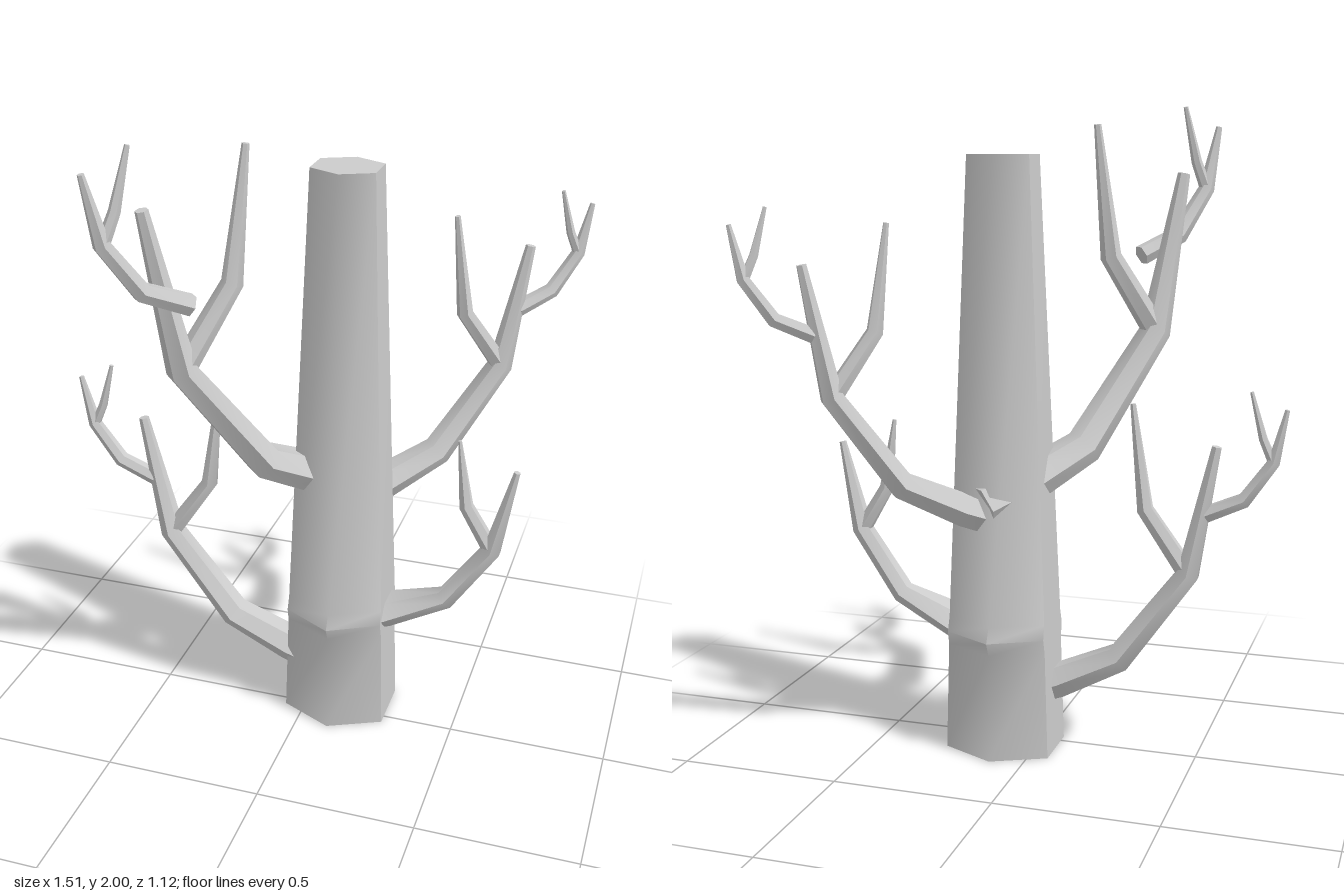
import * as THREE from 'three';
import { toCreasedNormals } from 'three/addons/utils/BufferGeometryUtils.js';

const material = new THREE.MeshStandardMaterial({ color: 0xcccccc });
const V = (x, y, z) => new THREE.Vector3(x, y, z);

// Closed skin over a stack of rings with equal point counts, capped at both ends
function loft(name, rings, crease) {
  const n = rings[0].length, pos = [], index = [];
  rings.forEach(r => r.forEach(p => pos.push(p.x, p.y, p.z)));
  for (let i = 0; i < rings.length - 1; i++) {
    for (let j = 0; j < n; j++) {
      const a = i * n + j, b = i * n + (j + 1) % n;
      index.push(a, b, b + n, a, b + n, a + n);
    }
  }
  const last = (rings.length - 1) * n;
  for (let j = 1; j < n - 1; j++) {
    index.push(0, j + 1, j, last, last + j, last + j + 1);
  }
  const geo = new THREE.BufferGeometry();
  geo.setAttribute('position', new THREE.Float32BufferAttribute(pos, 3));
  geo.setIndex(index);
  const mesh = new THREE.Mesh(toCreasedNormals(geo, crease), material);
  mesh.name = name;
  return mesh;
}

// Hexagonal limb along points [distance, height, radius, sideRadius?] lying in
// the upright plane through origin that runs in the horizontal direction u
function limb(name, points, origin, u, scale = 1) {
  const side = V(0, 1, 0).cross(u).normalize();
  const centres = points.map(([d, y]) =>
    origin.clone().addScaledVector(u, d * scale).add(V(0, y * scale, 0)));
  const step = i => centres[i + 1].clone().sub(centres[i]).normalize();
  const rings = points.map(([, , r, w = r], i) => {
    const t = V(0, 0, 0);
    if (i > 0) t.add(step(i - 1));
    if (i < points.length - 1) t.add(step(i));
    const normal = t.normalize().clone().cross(side);
    return Array.from({ length: 6 }, (_, k) => {
      const a = k * Math.PI / 3;
      return centres[i].clone()
        .addScaledVector(side, Math.cos(a) * w * scale)
        .addScaledVector(normal, Math.sin(a) * r * scale);
    });
  });
  return loft(name, rings, 0.75);
}

// Limb profiles measured from the fork of the branch
const MAIN = [[-0.5, -0.41, 0.058, 0.066], [-0.4, -0.375, 0.056, 0.064],
  [-0.21, -0.285, 0.047, 0.056], [0, 0, 0.038, 0.045], [0.08, 0.4, 0.016]];
const INNER_TWIG = [[0, 0, 0.032], [-0.135, 0.195, 0.027], [-0.176, 0.52, 0.009]];
const OUTER_TWIG = [[0.05, 0.19, 0.027], [0.165, 0.24, 0.025],
  [0.25, 0.36, 0.021], [0.286, 0.52, 0.008]];
const TWIG_TIP = [[0.25, 0.355, 0.016], [0.217, 0.43, 0.014], [0.18, 0.57, 0.006]];

function branch(name, fork, u, scale, twigShift = V(0, 0, 0)) {
  const group = new THREE.Group();
  group.name = name;
  u.normalize();
  const outer = fork.clone().add(twigShift);
  group.add(
    limb('mainLimb', MAIN, fork, u, scale),
    limb('innerTwig', INNER_TWIG, fork, u, scale),
    limb('outerTwig', OUTER_TWIG, outer, u, scale),
    limb('outerTwigFork', TWIG_TIP, outer, u, scale));
  return group;
}

export function createModel() {
  const tree = new THREE.Group();
  tree.name = 'bareTree';

  // Tapered six-sided trunk with a slight swelling: [y, half x, half z, half side face]
  const rings = [[0, 0.167, 0.168, 0.09], [0.34, 0.157, 0.163, 0.088],
    [0.385, 0.156, 0.183, 0.1], [0.43, 0.155, 0.16, 0.086], [1.85, 0.098, 0.098, 0.052]]
    .map(([y, x, z, s]) => [[0, z], [x, s], [x, -s], [0, -z], [-x, -s], [-x, s]]
      .map(([px, pz]) => V(0.105 + px, y, -0.058 + pz)));
  tree.add(loft('trunk', rings, 1.04));

  // Three large branches
  tree.add(
    branch('rightBranch', V(-0.465, 0.59, 0), V(-1, 0, 0.05), 1),
    branch('frontBranch', V(-0.29, 1.3, 0.275), V(-1, 0, 1), 1.23, V(0.108, 0, 0.025)),
    branch('backBranch', V(0.52, 1.15, -0.4), V(0.82, 0, -0.57), 0.97));

  // Small branch growing out of the left face of the trunk
  const small = new THREE.Group();
  small.name = 'leftBranch';
  const root = V(0, 0, -0.06), out = V(1, 0, 0);
  small.add(
    limb('mainLimb', [[0.2, 0.37, 0.05, 0.1], [0.265, 0.39, 0.048, 0.088],
      [0.45, 0.468, 0.036, 0.04], [0.588, 0.67, 0.032, 0.034], [0.65, 0.95, 0.011]], root, out),
    limb('innerTwig', [[0.588, 0.665, 0.027], [0.5, 0.81, 0.023], [0.47, 1.03, 0.006]], root, out));
  tree.add(small);

  return tree;
}
